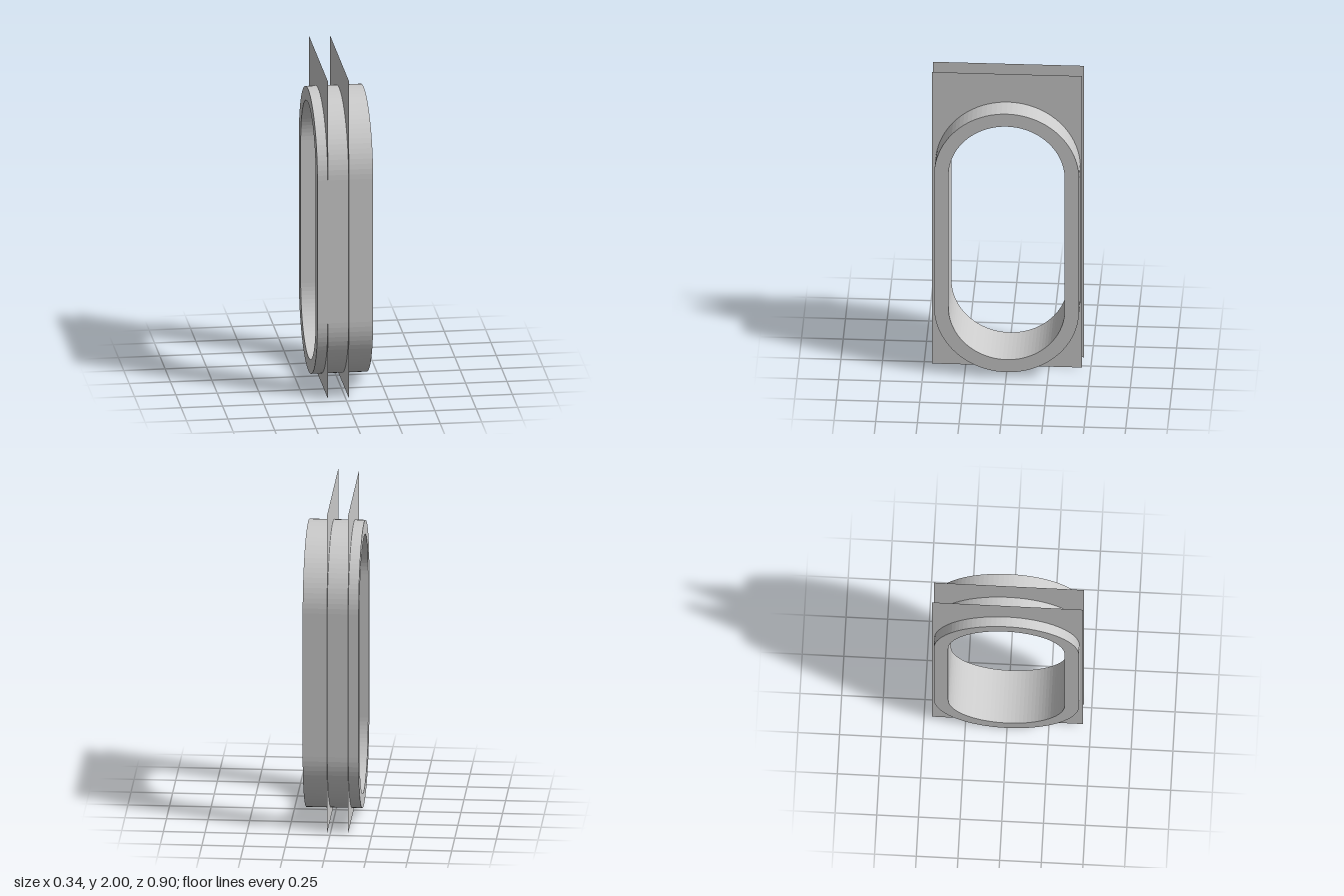
import * as THREE from 'three';

const BOTTOM = 0.472, TOP = 1.373; // centres of the two round ends
const MID_Z = -0.003;
const SEGMENTS = 22; // facets per half circle

// Upright slot outline: two half circles joined by straight sides (u = z, v = y)
function slot(path, radius) {
  path.absarc(MID_Z, TOP, radius, 0, Math.PI, false);
  path.absarc(MID_Z, BOTTOM, radius, Math.PI, Math.PI * 2, false);
  path.closePath();
  return path;
}

// Turns a geometry drawn in the u/v plane so that u runs along z
const turn = (geometry) => geometry.rotateY(-Math.PI / 2);

export function createModel() {
  const group = new THREE.Group();
  const ringMaterial = new THREE.MeshStandardMaterial({ color: 0xcccccc, flatShading: true });
  const sheetMaterial = new THREE.MeshStandardMaterial({ color: 0xcccccc, side: THREE.DoubleSide });

  // Thick oblong sleeve
  const width = 0.336;
  const outline = slot(new THREE.Shape(), 0.435);
  outline.holes.push(slot(new THREE.Path(), 0.349));
  const sleeve = new THREE.ExtrudeGeometry(outline, {
    depth: width, bevelEnabled: false, curveSegments: SEGMENTS,
  }).translate(0, 0, -width / 2);
  const ring = new THREE.Mesh(turn(sleeve), ringMaterial);
  ring.name = 'sleeve';
  group.add(ring);

  // Two paper-thin wall sheets, cut out where the sleeve passes through
  for (const [name, x, back, front] of [
    ['rightSheet', 0.02, -0.447, 0.452],
    ['leftSheet', -0.106, -0.452, 0.452],
  ]) {
    const sheet = new THREE.Shape([
      new THREE.Vector2(back, 0), new THREE.Vector2(front, 0),
      new THREE.Vector2(front, 2), new THREE.Vector2(back, 2),
    ]);
    sheet.holes.push(slot(new THREE.Path(), 0.39));
    const mesh = new THREE.Mesh(turn(new THREE.ShapeGeometry(sheet, SEGMENTS)), sheetMaterial);
    mesh.position.x = x;
    mesh.name = name;
    group.add(mesh);
  }
  return group;
}
